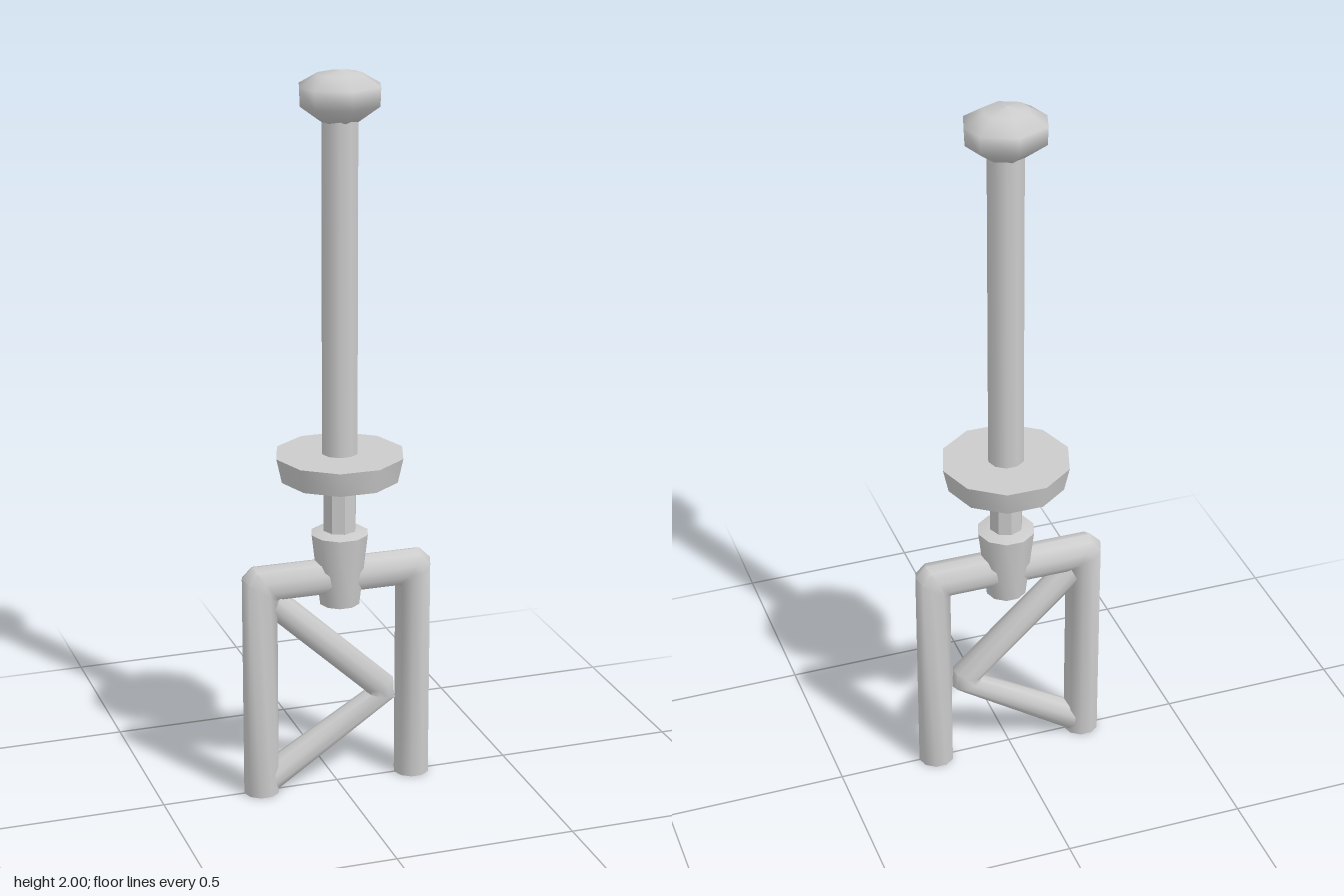
import * as THREE from 'three';
import { toCreasedNormals } from 'three/addons/utils/BufferGeometryUtils.js';

const AXIS = 0.008; // the upright sits slightly off centre
const grey = new THREE.MeshStandardMaterial({ color: 0xcccccc, side: THREE.DoubleSide });

function add(group, name, geometry) {
  const mesh = new THREE.Mesh(geometry, grey);
  mesh.name = name;
  group.add(mesh);
  return mesh;
}

// Turned part from [radius, y] pairs, listed bottom to top, with a corner on +x
function turned(profile, sides) {
  const pts = profile.map(([r, y]) => new THREE.Vector2(r, y));
  return new THREE.LatheGeometry(pts, sides, Math.PI / 2).translate(AXIS, 0, 0);
}

// Open tube in the xy plane; each section is [outerX, outerY, innerX, innerY]
function mitredTube(sections, depth, sides = 10) {
  const pos = [], index = [];
  sections.forEach(([ox, oy, ix, iy], s) => {
    for (let k = 0; k < sides; k++) {
      const a = (k / sides) * Math.PI * 2, c = Math.cos(a) / 2;
      pos.push((ox + ix) / 2 + (ox - ix) * c, (oy + iy) / 2 + (oy - iy) * c, depth * Math.sin(a));
      if (s === sections.length - 1) continue;
      const p = s * sides + k, q = s * sides + ((k + 1) % sides);
      index.push(p, q, p + sides, q, q + sides, p + sides);
    }
  });
  const g = new THREE.BufferGeometry();
  g.setAttribute('position', new THREE.Float32BufferAttribute(pos, 3));
  g.setIndex(index);
  return toCreasedNormals(g, 0.85);
}

export function createModel() {
  const model = new THREE.Group();
  model.name = 'forkAndPost';

  // Fork: two legs joined by a crossbar with bevelled corners
  add(model, 'forkFrame', mitredTube([
    [-0.27, 0, -0.17, 0],
    [-0.27, 0.635, -0.17, 0.565],
    [-0.24, 0.665, -0.17, 0.565],
    [0.24, 0.665, 0.17, 0.565],
    [0.27, 0.635, 0.17, 0.565],
    [0.27, 0, 0.17, 0],
  ], 0.05));

  // Bent brace between the legs
  add(model, 'brace', mitredTube([
    [-0.165, 0.598, -0.2, 0.523],
    [0.165, 0.29, 0.085, 0.258],
    [0.168, 0.237, 0.085, 0.256],
    [-0.18, 0, -0.2, 0.087],
  ], 0.04));

  // Tapered socket around the crossbar
  add(model, 'socket', toCreasedNormals(turned([
    [0, 0.535], [0.056, 0.535], [0.08, 0.738], [0.045, 0.747], [0, 0.747],
  ], 10), 0.7));

  // Neck, post and collar disc
  add(model, 'neck', toCreasedNormals(turned([[0.046, 0.73], [0.046, 0.91]], 8), 0.3));
  add(model, 'post', turned([[0.05, 0.93], [0.05, 1.89]], 10));
  add(model, 'collar', toCreasedNormals(turned([
    [0, 0.887], [0.06, 0.887], [0.163, 0.897], [0.178, 0.965], [0, 0.967],
  ], 10), 0.7));

  // Faceted knob, its diagonal corners drawn out sideways
  const knob = turned([
    [0, 1.865], [0.05, 1.867], [0.108, 1.91], [0.11, 1.96], [0.06, 1.99], [0, 2],
  ], 8);
  const p = knob.attributes.position;
  for (let i = 0; i < p.count; i++) {
    const x = p.getX(i) - AXIS, z = p.getZ(i);
    const diagonal = Math.abs(x) > 1e-4 && Math.abs(z) > 1e-4;
    p.setX(i, AXIS + x * (diagonal ? 1.157 : 1));
    p.setZ(i, z * (diagonal ? 0.836 : 0.955));
  }
  add(model, 'knob', knob);

  return model;
}
